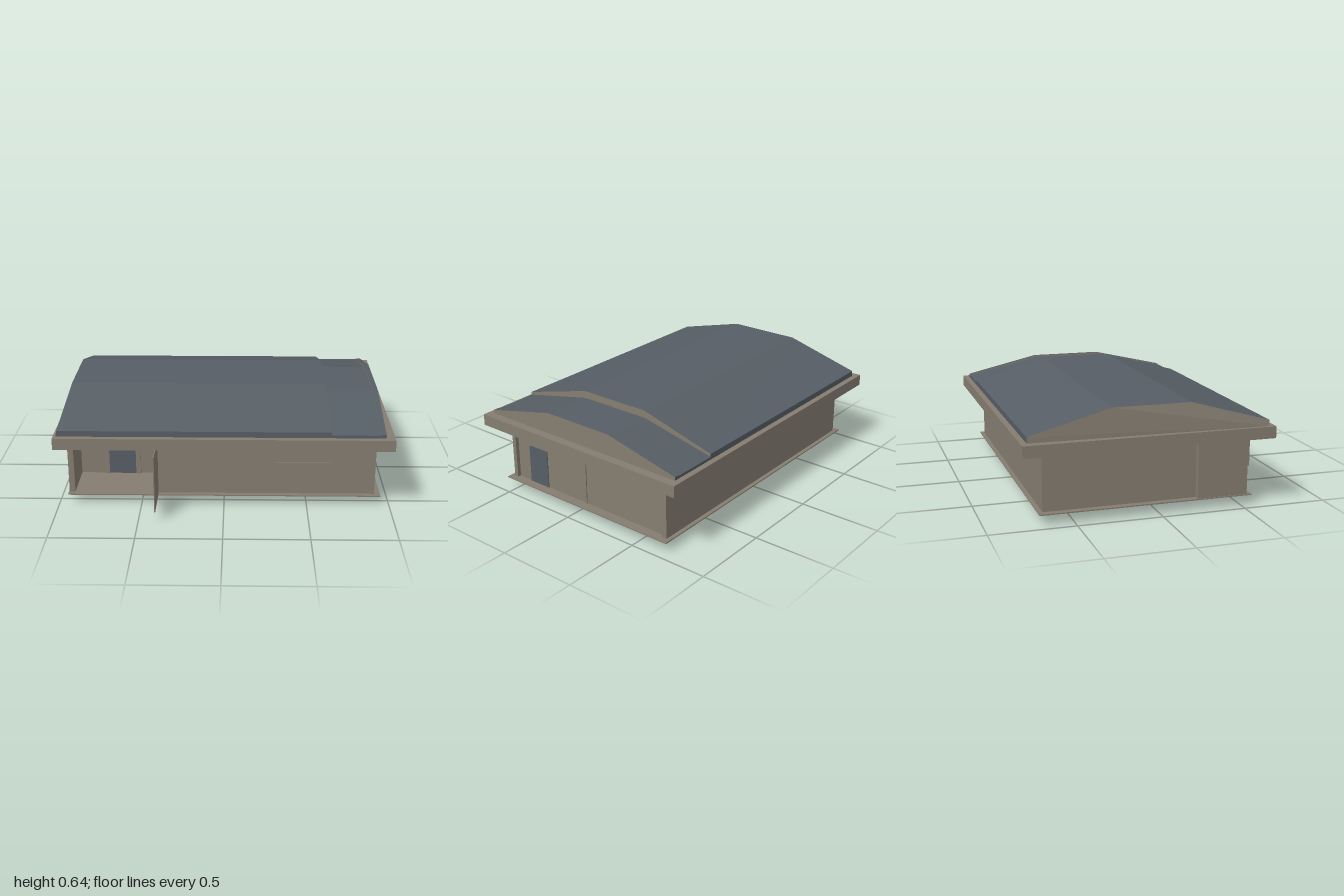
import * as THREE from 'three';

const tan = new THREE.MeshStandardMaterial({ color: 0x857d71, name: 'tanWall', side: THREE.DoubleSide });
const slate = new THREE.MeshStandardMaterial({ color: 0x565e65, name: 'slate', side: THREE.DoubleSide });

// Box given by its extents on each axis
function box(parent, name, [x0, x1], [y0, y1], [z0, z1], mat = tan) {
  const mesh = new THREE.Mesh(new THREE.BoxGeometry(x1 - x0, y1 - y0, z1 - z0), mat);
  mesh.position.set((x0 + x1) / 2, (y0 + y1) / 2, (z0 + z1) / 2);
  mesh.name = name;
  parent.add(mesh);
  return mesh;
}

// Faceted vault along x: profile is [z, y], one start x per profile point.
// Group 0 is the covering, group 1 the two gables.
function vault(profile, starts, end, coverMat) {
  const cover = [], gables = [];
  const a = (i) => [starts[i], profile[i][1], profile[i][0]];
  const b = (i) => [end, profile[i][1], profile[i][0]];
  for (let i = 0; i < profile.length - 1; i++) {
    cover.push(...a(i), ...b(i), ...b(i + 1), ...a(i), ...b(i + 1), ...a(i + 1));
  }
  for (let i = 1; i < profile.length - 1; i++) {
    gables.push(...b(0), ...b(i + 1), ...b(i), ...a(0), ...a(i), ...a(i + 1));
  }
  // right gable must face +x, left gable -x
  for (let t = 0; t < gables.length; t += 9) {
    const p = gables.slice(t + 3, t + 6);
    const q = gables.slice(t + 6, t + 9);
    gables.splice(t + 3, 6, ...q, ...p);
  }
  const geo = new THREE.BufferGeometry();
  geo.setAttribute('position', new THREE.Float32BufferAttribute([...cover, ...gables], 3));
  geo.computeVertexNormals();
  geo.addGroup(0, cover.length / 3, 0);
  geo.addGroup(cover.length / 3, gables.length / 3, 1);
  return new THREE.Mesh(geo, [coverMat, tan]);
}

const roofProfile = (drop) => [
  [0.645, 0.475], [0.645, 0.51 - drop * 0.4], [0.175, 0.64 - drop],
  [-0.29, 0.64 - drop], [-0.765, 0.51 - drop * 0.4], [-0.765, 0.475],
];

export function createModel() {
  const model = new THREE.Group();
  model.name = 'house';
  const wallY = [0.062, 0.41];

  // Floor slab
  box(model, 'floorSlab', [-0.945, 0.945], [0.058, 0.065], [-0.7, 0.565]);

  // Walls, with the porch recessed at the front of the right end
  const walls = new THREE.Group();
  walls.name = 'walls';
  model.add(walls);
  box(walls, 'rearBlock', [-0.905, 0.887], wallY, [-0.67, 0.255]);
  box(walls, 'frontBlock', [-0.43, 0.887], wallY, [0.255, 0.525]);
  box(walls, 'backWall', [-0.905, 0.91], wallY, [-0.675, -0.645]);
  box(walls, 'frontWall', [-0.43, 0.91], wallY, [0.51, 0.537]);
  box(walls, 'porchSideWall', [-0.94, -0.905], wallY, [0.23, 0.535]);
  box(walls, 'finWall', [-0.403, -0.398], wallY, [0.53, 0.8]);
  box(walls, 'sideWallJoint', [0.886, 0.893], wallY, [-0.058, -0.051]);

  // Doors
  box(model, 'frontDoor', [-0.73, -0.56], [0.065, 0.305], [0.254, 0.26], slate);
  box(model, 'sideDoor', [0.884, 0.892], [0.065, 0.305], [0.26, 0.41], slate);

  // Posts beside the front door, reaching through the slab to the ground
  for (const [x, foot] of [[-0.742, 0.01], [-0.545, 0]]) {
    box(model, 'doorPost', [x - 0.015, x + 0.015], [foot, 0.225], [0.247, 0.266]);
  }

  // Narrow ledge on the front wall
  box(model, 'frontLedge', [0.315, 0.64], [0.25, 0.27], [0.535, 0.545]);

  // Flat eaves band
  box(model, 'eavesBand', [-1, 1], [0.405, 0.475], [-0.8, 0.68]);

  // Main faceted roof, its front right corner flaring outward
  const main = vault(roofProfile(0), [-0.982, -0.976, -0.95, -0.95, -0.95, -0.95], 0.63, slate);
  main.name = 'mainRoof';
  model.add(main);

  // Lower end of the roof with a thin raised rib at its edge
  const low = vault(roofProfile(0.045), Array(6).fill(0.63), 0.945, slate);
  low.name = 'lowerRoof';
  model.add(low);
  const rib = vault(roofProfile(0.034), Array(6).fill(0.915), 0.947, slate);
  rib.name = 'roofEndRib';
  model.add(rib);

  return model;
}
